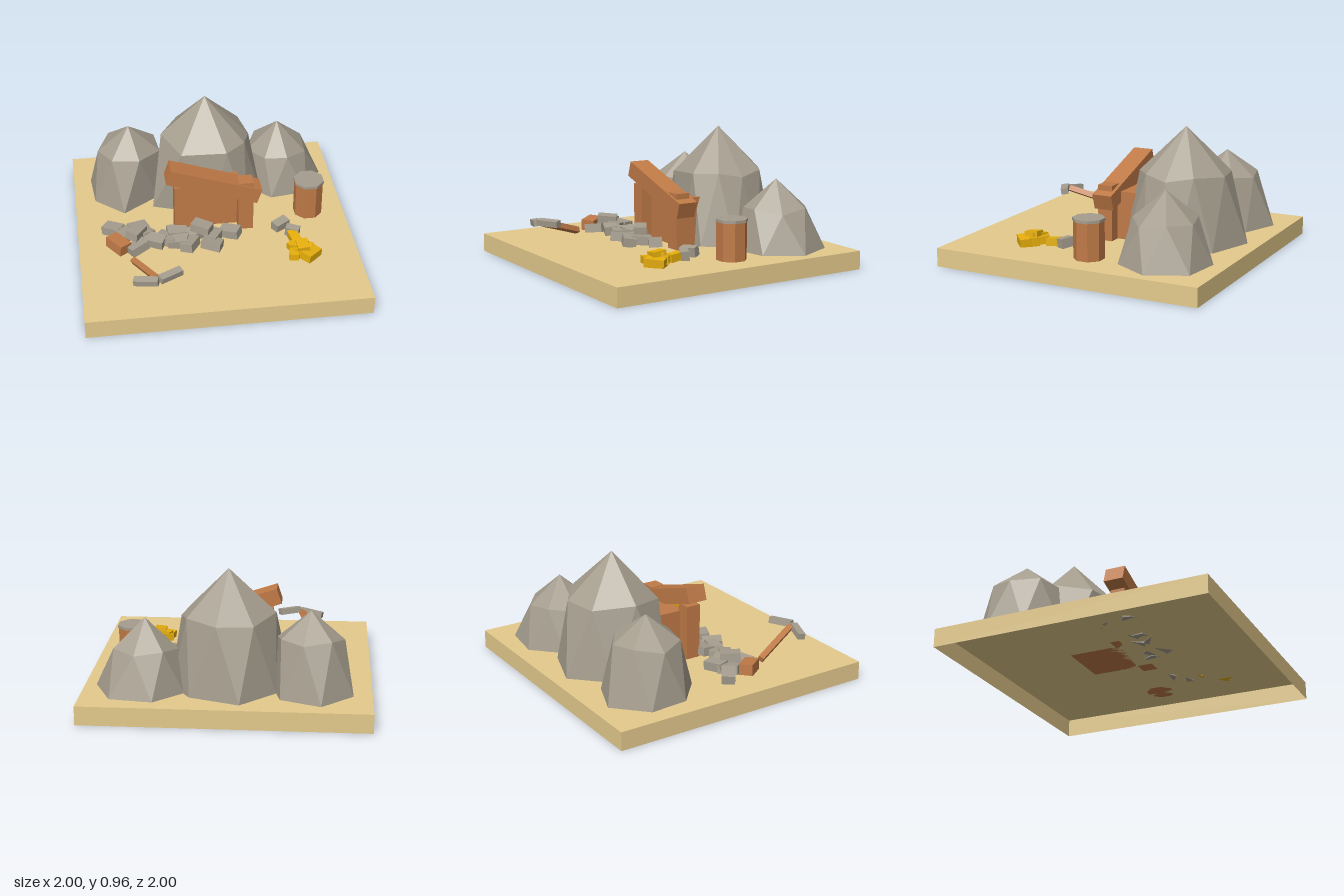
import * as THREE from 'three';

const GROUND = 0.135;
const mat = (name, color, side = THREE.FrontSide) => {
  const m = new THREE.MeshStandardMaterial({ color, side });
  m.name = name;
  return m;
};

// Faceted peak: apex, a shoulder ring, and an irregular base outline (clockwise from above)
function peakGeometry([ax, ay, az], shoulderY, shoulderR, outline) {
  const n = outline.length;
  const base = outline.map(([x, z]) => [x, GROUND, z]);
  const ring = outline.map(([x, z], i) => {
    const [x2, z2] = outline[(i + 1) % n];
    const dx = (x + x2) / 2 - ax, dz = (z + z2) / 2 - az;
    const s = shoulderR / Math.hypot(dx, dz);
    return [ax + dx * s, shoulderY + 0.02 * Math.sin(i * 2.3), az + dz * s];
  });
  const pos = [];
  for (let i = 0; i < n; i++) {
    const j = (i + 1) % n;
    pos.push(ax, ay, az, ...ring[j], ...ring[i]);
    pos.push(...ring[i], ...base[j], ...base[i]);
    pos.push(...base[j], ...ring[i], ...ring[j]);
  }
  const g = new THREE.BufferGeometry();
  g.setAttribute('position', new THREE.Float32BufferAttribute(pos, 3));
  g.computeVertexNormals();
  return g;
}

// Flat-sided octagonal cylinder with faces square to the axes
function octagon(apothem, height) {
  const r = apothem / Math.cos(Math.PI / 8);
  const g = new THREE.CylinderGeometry(r, r, height, 8).rotateY(Math.PI / 8).toNonIndexed();
  g.computeVertexNormals();
  return g;
}

export function createModel() {
  const model = new THREE.Group();
  model.name = 'mineEntrance';
  const sand = mat('sand', 0xe4ca8c, THREE.DoubleSide);
  const rock = mat('rock', 0xa59d8e);
  const wood = mat('wood', 0xc07a47);
  const gold = mat('gold', 0xe6ae0c);

  const add = (name, geometry, material, pos = [0, 0, 0], rot = [0, 0, 0], parent = model) => {
    const m = new THREE.Mesh(geometry, material);
    m.name = name;
    m.position.set(...pos);
    m.rotation.set(...rot.map(THREE.MathUtils.degToRad), 'YXZ');
    parent.add(m);
    return m;
  };
  const box = (name, size, material, pos, rot, parent) =>
    add(name, new THREE.BoxGeometry(...size), material, pos, rot, parent);
  const group = (name) => {
    const g = new THREE.Group();
    g.name = name;
    model.add(g);
    return g;
  };

  // Ground tray: a top and four sides, open underneath
  const ground = group('ground');
  add('groundTop', new THREE.PlaneGeometry(2, 2), sand, [0, GROUND, 0], [-90, 0, 0], ground);
  for (let i = 0; i < 4; i++) {
    const a = i * Math.PI / 2;
    add('groundSide', new THREE.PlaneGeometry(2, GROUND), sand,
      [Math.sin(a), GROUND / 2, Math.cos(a)], [0, i * 90, 0], ground);
  }

  // Three peaks
  add('centrePeak', peakGeometry([0, 0.965, -0.46], 0.64, 0.33,
    [[-0.1, -0.9], [0.25, -0.78], [0.39, -0.56], [0.42, -0.33], [0.28, -0.12],
      [0, -0.12], [-0.42, -0.27], [-0.34, -0.66]]), rock);
  add('rightPeak', peakGeometry([-0.57, 0.7, -0.54], 0.515, 0.235,
    [[-0.65, -0.89], [-0.37, -0.78], [-0.32, -0.58], [-0.37, -0.4],
      [-0.64, -0.21], [-0.85, -0.4], [-0.87, -0.68]]), rock);
  add('leftPeak', peakGeometry([0.57, 0.635, -0.57], 0.425, 0.23,
    [[0.49, -0.89], [0.79, -0.85], [0.92, -0.57], [0.77, -0.31],
      [0.49, -0.27], [0.36, -0.4], [0.29, -0.7]]), rock);

  // Boarded entrance with a fallen lintel
  const entrance = group('entrance');
  for (const s of [-1, 1])
    box('post', [0.11, 0.405, 0.11], wood, [s * 0.235, 0.3375, 0.04], [0, 0, 0], entrance);
  box('tunnelBlock', [0.4, 0.35, 0.38], wood, [0, 0.31, -0.18], [0, 0, 0], entrance);
  box('lintel', [0.7, 0.117, 0.15], wood, [0, 0.535, 0.035], [0, 0, -18.4], entrance);

  // Barrel with lid
  const barrel = group('barrel');
  add('barrelBody', octagon(0.1, 0.27), wood, [0.73, 0.27, -0.07], [0, 0, 0], barrel);
  add('barrelLid', octagon(0.106, 0.02), rock, [0.73, 0.413, -0.07], [0, 0, 0], barrel);

  // Rubble: x, y, z, turn
  const rubble = group('rubble');
  [
    [-0.74, 0.175, 0.03, -37], [-0.65, 0.175, 0.1, 40], [-0.56, 0.18, 0.05, 20],
    [-0.58, 0.17, 0.26, 30], [-0.58, 0.23, 0.16, 55], [-0.45, 0.18, 0.21, -25],
    [-0.52, 0.18, 0.11, -55], [-0.36, 0.17, 0.19, -35], [-0.28, 0.18, 0.13, 5],
    [-0.28, 0.17, 0.23, -10], [-0.2, 0.17, 0.27, 60], [-0.1, 0.23, 0.16, -32],
    [-0.16, 0.17, 0.15, 20], [-0.02, 0.17, 0.2, 60], [-0.04, 0.17, 0.29, -25],
    [0.11, 0.17, 0.16, -30],
  ].forEach(([x, y, z, turn], i) =>
    box('rubbleStone', [0.145, 0.065, 0.095], rock, [x, y, z],
      [8 * Math.sin(i * 1.7), turn, 8 * Math.cos(i * 2.1)], rubble));
  box('looseStone', [0.12, 0.07, 0.07], rock, [0.49, 0.17, 0.12], [8, 32, 4], rubble);
  box('looseStone', [0.1, 0.07, 0.06], rock, [0.565, 0.17, 0.21], [5, -25, -4], rubble);
  box('woodChunk', [0.1, 0.08, 0.16], wood, [-0.715, 0.183, 0.225], [4, 37, -3], rubble);

  // Pickaxe leaning on its handle
  const pickaxe = group('pickaxe');
  const a = new THREE.Vector3(-0.62, 0.16, 0.4), b = new THREE.Vector3(-0.485, 0.28, 0.77);
  const handle = box('pickaxeHandle', [0.042, 0.042, a.distanceTo(b)], wood, [0, 0, 0], [0, 0, 0], pickaxe);
  handle.position.lerpVectors(a, b, 0.5);
  handle.lookAt(b);
  handle.rotateZ(0.45);
  box('pickaxeHead', [0.175, 0.045, 0.055], rock, [-0.56, 0.27, 0.78], [8, -17, 7], pickaxe);
  box('pickaxeHead', [0.175, 0.045, 0.055], rock, [-0.39, 0.292, 0.76], [8, 28, 0], pickaxe);

  // Gold nuggets: position, size, rotation
  const nuggets = group('goldNuggets');
  [
    [[0.565, 0.165, 0.29], [0.07, 0.055, 0.12], [4, 12, 3]],
    [[0.63, 0.168, 0.475], [0.14, 0.06, 0.14], [3, 42, -3]],
    [[0.55, 0.17, 0.42], [0.07, 0.055, 0.12], [5, 30, 4]],
    [[0.53, 0.165, 0.48], [0.07, 0.05, 0.09], [0, -15, 5]],
    [[0.61, 0.17, 0.41], [0.13, 0.055, 0.08], [6, -35, 0]],
    [[0.595, 0.213, 0.45], [0.085, 0.04, 0.1], [5, 2, 6]],
    [[0.575, 0.2, 0.43], [0.13, 0.04, 0.06], [0, -20, 8]],
  ].forEach(([pos, size, rot]) => box('nugget', size, gold, pos, rot, nuggets));

  return model;
}
